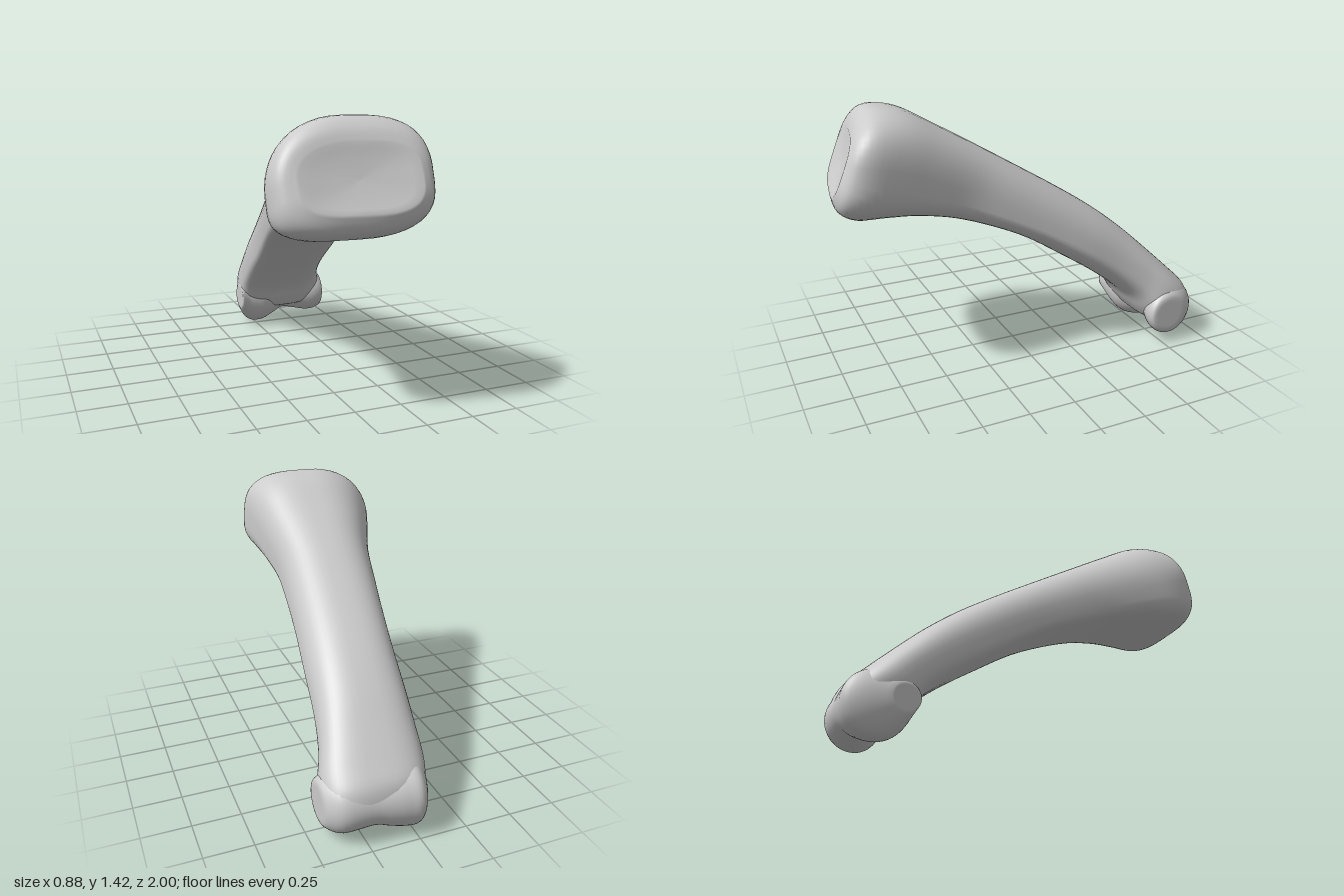
import * as THREE from 'three';

const SEG = 48;
const spow = (v, e) => Math.sign(v) * Math.pow(Math.abs(v), e);

// Smoothly resample rows of numbers, column by column
function resample(keys, steps) {
  const rows = [];
  const at = (i) => keys[Math.min(keys.length - 1, Math.max(0, i))];
  for (let i = 0; i < keys.length - 1; i++) {
    for (let s = 0; s < steps; s++) {
      const t = s / steps;
      rows.push(keys[i].map((p1, k) => {
        const p0 = at(i - 1)[k], p2 = at(i + 1)[k], p3 = at(i + 2)[k];
        return 0.5 * (2 * p1 + (p2 - p0) * t + (2 * p0 - 5 * p1 + 4 * p2 - p3) * t * t
          + (3 * p1 - p0 - 3 * p2 + p3) * t * t * t);
      }));
    }
  }
  rows.push(keys[keys.length - 1]);
  return rows;
}

// Skin a list of closed rings; both ends are closed by shrinking rings, the first one dished
function loft(rings, dish) {
  const cap = (ring, push) => {
    const c = new THREE.Vector3();
    ring.forEach((p) => c.addScaledVector(p, 1 / ring.length));
    return [0.85, 0.5, 0].map((s) => ring.map((p) =>
      c.clone().lerp(p, s).addScaledVector(push, 1 - s * s)));
  };
  const all = [...cap(rings[0], dish).reverse(), ...rings,
    ...cap(rings[rings.length - 1], new THREE.Vector3())];
  const pos = [], idx = [];
  all.forEach((ring, i) => ring.forEach((p, j) => {
    pos.push(p.x, p.y, p.z);
    if (i === all.length - 1) return;
    const a = i * SEG + j, b = i * SEG + (j + 1) % SEG;
    idx.push(a, a + SEG, b, b, a + SEG, b + SEG);
  }));
  const g = new THREE.BufferGeometry();
  g.setAttribute('position', new THREE.Float32BufferAttribute(pos, 3));
  g.setIndex(idx);
  g.computeVertexNormals();
  return g;
}

// Cross-section in the plane through its top and bottom points
function shaftRing([zt, yt, zb, yb, x0, x1], [eTopL, eTopR, eLowR, eLowL, wide, skew]) {
  const ring = [];
  for (let j = 0; j < SEG; j++) {
    const a = (j / SEG) * Math.PI * 2, c = Math.cos(a), s = Math.sin(a);
    const e = s >= 0 ? (c > 0 ? eTopL : eTopR) : (c > 0 ? eLowL : eLowR);
    const dx = spow(c, e) * (x1 - x0) / 2;
    const v = spow(s, e);
    const h = wide + (v >= 0 ? v * (1 - wide) : v * wide);
    ring.push(new THREE.Vector3((x0 + x1) / 2 + dx, yb + (yt - yb) * h,
      zb + (zt - zb) * h + skew * dx));
  }
  return ring;
}

// Round section of the knuckle, around the x axis
function knuckleRing([x, r, z, y]) {
  return Array.from({ length: SEG }, (_, j) => {
    const a = (j / SEG) * Math.PI * 2;
    return new THREE.Vector3(x, y + Math.cos(a) * r, z + Math.sin(a) * r);
  });
}

export function createModel() {
  const group = new THREE.Group();
  group.name = 'fingerBone';
  const material = new THREE.MeshStandardMaterial({ color: 0xcccccc });
  const add = (name, geometry) => {
    const mesh = new THREE.Mesh(geometry, material);
    mesh.name = name;
    group.add(mesh);
  };

  // Flared base and tapering shaft: top z, y, bottom z, y, x range
  const path = resample([
    [0.855, 1.31, 0.975, 1.01, -0.34, 0.21],
    [0.82, 1.375, 0.955, 0.935, -0.41, 0.28],
    [0.745, 1.42, 0.885, 0.885, -0.44, 0.31],
    [0.6, 1.398, 0.76, 0.875, -0.43, 0.3],
    [0.42, 1.3, 0.6, 0.866, -0.37, 0.28],
    [0.2, 1.172, 0.4, 0.83, -0.285, 0.262],
    [0, 1.052, 0.19, 0.76, -0.235, 0.275],
    [-0.22, 0.918, -0.01, 0.67, -0.19, 0.297],
    [-0.43, 0.78, -0.22, 0.54, -0.155, 0.325],
    [-0.6, 0.645, -0.43, 0.4, -0.135, 0.35],
    [-0.73, 0.525, -0.59, 0.27, -0.122, 0.385],
    [-0.86, 0.4, -0.65, 0.18, -0.115, 0.425],
    [-0.945, 0.31, -0.7, 0.12, -0.09, 0.425],
    [-0.972, 0.21, -0.78, 0.1, -0.05, 0.39],
  ], 4);
  // Corner exponents (top left, top right, low right, low left), height of widest point, skew
  const corners = resample([
    [0.59, 0.92, 0.54, 0.7, 0.5, 0.16],
    [0.63, 0.95, 0.46, 0.86, 0.36, 0.02],
    [0.75, 0.82, 0.46, 0.9, 0.28, 0],
    [0.72, 0.75, 0.55, 0.8, 0.4, 0],
    [0.6, 0.7, 0.7, 0.7, 0.5, 0],
  ], 13);
  add('shaft', loft(path.map((p, i) => shaftRing(p, corners[i])),
    new THREE.Vector3(0, -0.006, -0.018)));

  // Two rounded knuckles with a groove between: x, radius, centre z, y
  const knuckles = resample([
    [0.443, 0.085, -0.775, 0.185],
    [0.43, 0.12, -0.785, 0.185],
    [0.36, 0.15, -0.815, 0.192],
    [0.21, 0.127, -0.85, 0.193],
    [0.13, 0.148, -0.84, 0.185],
    [0.05, 0.172, -0.826, 0.18],
    [-0.02, 0.172, -0.826, 0.18],
    [-0.07, 0.135, -0.79, 0.185],
    [-0.117, 0.075, -0.72, 0.2],
  ], 4);
  add('knuckles', loft(knuckles.map(knuckleRing), new THREE.Vector3()));

  return group;
}
